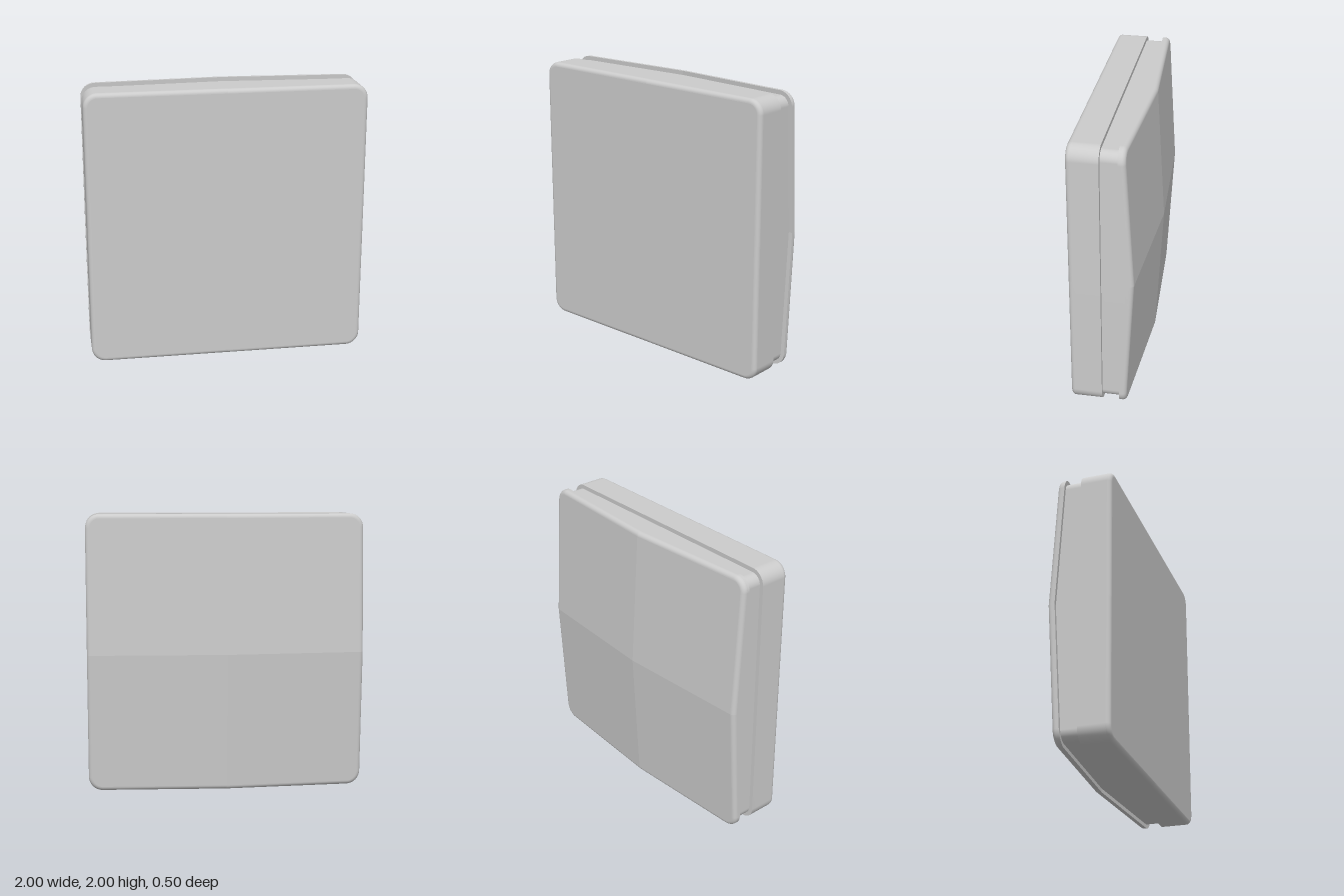
import * as THREE from 'three';
import { mergeGeometries } from 'three/addons/utils/BufferGeometryUtils.js';

const CORNER = 0.1;   // corner radius of the square outline
const SLOPE = 0.057;  // fall of the cover from its centre to its edges
const ARC = 10;

// One quarter of the rounded square, from the middle of one side to the next.
function quarter(inset) {
  const w = 1 - inset, r = Math.max(0, CORNER - inset);
  const pts = [[w, 0]];
  for (let i = 0; i <= ARC; i++) {
    const a = (i / ARC) * Math.PI / 2;
    pts.push([w - r + r * Math.cos(a), w - r + r * Math.sin(a)]);
  }
  pts.push([0, w]);
  return pts;
}

// Smooth strip through rows of [inset, z, slope], ordered back to front.
// Each quarter has its own vertices, so the ridges stay sharp.
function strip(rows) {
  const n = ARC + 3, quarters = [];
  for (let k = 0; k < 4; k++) {
    const c = [1, 0, -1, 0][k], s = [0, 1, 0, -1][k];
    const pos = [], idx = [];
    for (const [inset, z, slope = 0] of rows) {
      for (const [x, y] of quarter(inset)) {
        pos.push(x * c - y * s, 1 + x * s + y * c, z + slope * (x + y));
      }
    }
    for (let j = 0; j < rows.length - 1; j++) {
      for (let i = 0; i < n - 1; i++) {
        const a = j * n + i, b = a + n;
        if (rows[j][0] < 1) idx.push(a, a + 1, b + 1);
        if (rows[j + 1][0] < 1) idx.push(a, b + 1, b);
      }
    }
    const g = new THREE.BufferGeometry();
    g.setAttribute('position', new THREE.Float32BufferAttribute(pos, 3));
    g.setIndex(idx);
    g.computeVertexNormals();
    quarters.push(g);
  }
  return mergeGeometries(quarters);
}

// Rows of a quarter-round edge; dir is the side (+1 front, -1 back) it faces.
function roundEdge(z, radius, dir, slope = 0) {
  const rows = [];
  for (let i = 0; i <= 8; i++) {
    const a = (i / 8) * Math.PI / 2;
    rows.push([radius * (1 - Math.cos(a)), z - dir * radius * (1 - Math.sin(a)), slope]);
  }
  return dir > 0 ? rows : rows.reverse();
}

export function createModel() {
  const model = new THREE.Group();
  model.name = 'squarePanel';
  const material = new THREE.MeshStandardMaterial({ color: 0xcccccc });
  const add = (name, ...strips) => {
    const mesh = new THREE.Mesh(mergeGeometries(strips.map(strip)), material);
    mesh.name = name;
    model.add(mesh);
  };
  const R = 0.03;

  // Thick front slab with a rounded front edge
  add('frontSlab',
    [[1, 0.03], [0, 0.03]],
    [[0, 0.03], [0, 0.25 - R]],
    roundEdge(0.25, R, 1),
    [[R, 0.25], [1, 0.25]]);

  // Recessed neck between slab and cover
  add('neck', [[0.03, -0.205, SLOPE], [0.03, 0.03]]);

  // Thin back cover, four shallow slopes meeting at the centre
  add('backCover',
    [[1, -0.25, SLOPE], [R, -0.25, SLOPE]],
    roundEdge(-0.25, R, -1, SLOPE),
    [[0, -0.25 + R, SLOPE], [0, -0.2, SLOPE]],
    [[0, -0.2, SLOPE], [1, -0.2, SLOPE]]);

  return model;
}
